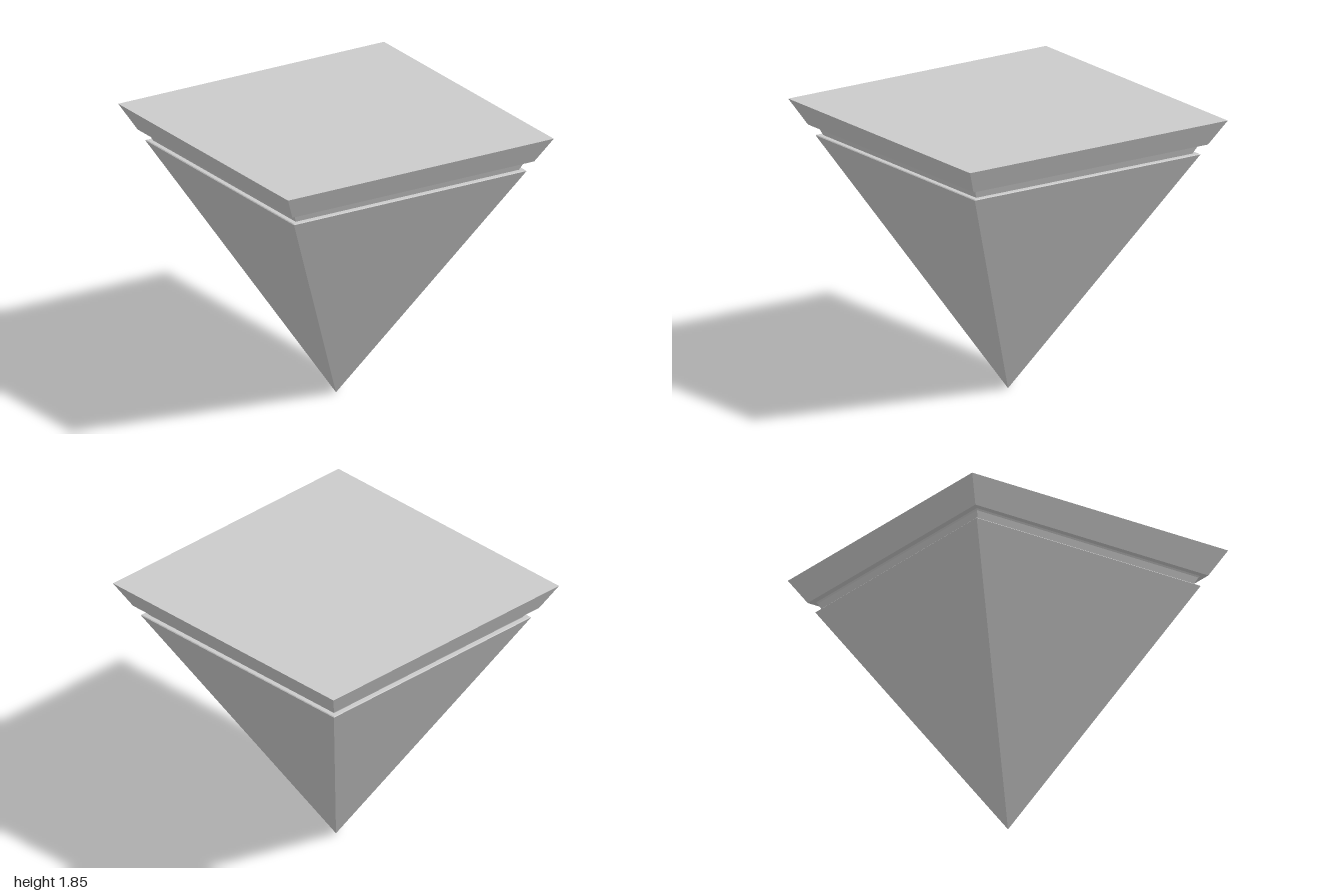
import * as THREE from 'three';

// Sweeps a profile of [half width, height] pairs, bottom to top, around a square.
function squareLathe(name, profile, material) {
  const points = profile.map(([half, y]) => new THREE.Vector2(half * Math.SQRT2, y));
  const geometry = new THREE.LatheGeometry(points, 4, Math.PI / 4).toNonIndexed();
  geometry.computeVertexNormals();
  const mesh = new THREE.Mesh(geometry, material);
  mesh.name = name;
  return mesh;
}

export function createModel() {
  const group = new THREE.Group();
  group.name = 'invertedPyramid';
  const material = new THREE.MeshStandardMaterial({ color: 0xcccccc, flatShading: true });

  group.add(
    // Pointed body with the narrow ledge around its top
    squareLathe('pyramidBody', [[0, 0], [0.875, 1.61], [0.87, 1.615], [0.84, 1.615]], material),
    // Recessed groove between body and cap
    squareLathe('neckGroove', [[0.84, 1.615], [0.865, 1.67], [0.872, 1.68]], material),
    // Flared slab with its underside lip and flat top
    squareLathe('capSlab', [[0.872, 1.68], [0.91, 1.68], [1, 1.845], [0, 1.845]], material),
  );
  return group;
}
